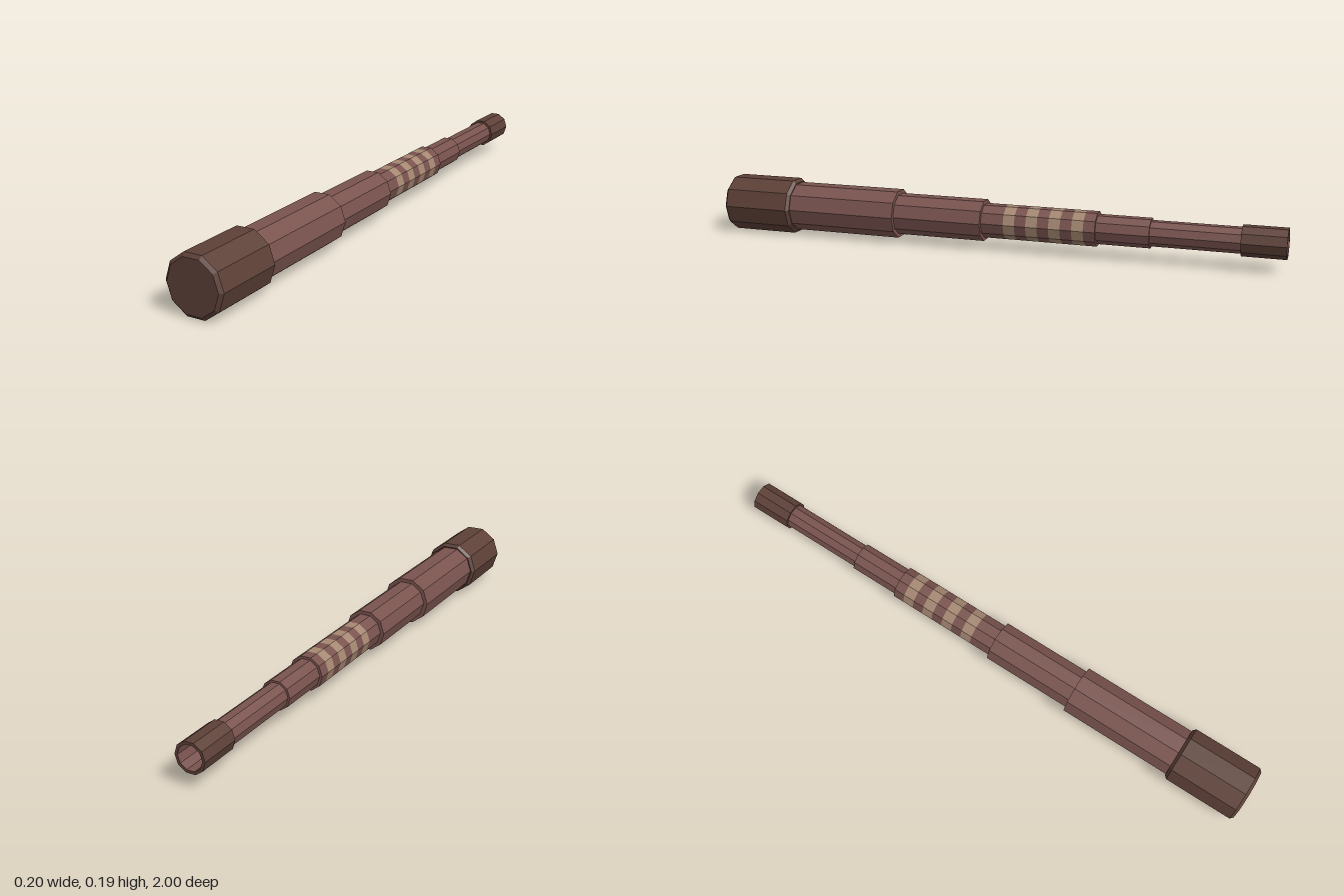
import * as THREE from 'three';

const SIDES = 10;
const AXIS_HEIGHT = 0.098;

const mat = (color) => new THREE.MeshStandardMaterial({ color, flatShading: true });

export function createModel() {
  const group = new THREE.Group();
  const wood = mat(0x79534e);
  const darkWood = mat(0x5d4037);
  const tan = mat(0xa58872);

  // Ten-sided turned part along z; profile is [radius, z] from back to front
  function turned(name, material, profile) {
    const points = profile.map(([r, z]) => new THREE.Vector2(r, z));
    const geometry = new THREE.LatheGeometry(points, SIDES, Math.PI / 2);
    geometry.rotateX(Math.PI / 2);
    const mesh = new THREE.Mesh(geometry, material);
    mesh.name = name;
    mesh.position.y = AXIS_HEIGHT;
    group.add(mesh);
  }

  // Straight tube with ring ends reaching in to the given inner radius
  const tube = (name, material, r, inner, back, front) =>
    turned(name, material, [[inner, back], [r, back], [r, front], [inner, front]]);

  // Chamfered front cap
  turned('frontCap', darkWood, [
    [0.08, 0.74], [0.091, 0.74], [0.1015, 0.75],
    [0.1015, 0.99], [0.09, 1], [0, 1],
  ]);

  // Telescoping sections
  tube('largeTube', wood, 0.087, 0.06, 0.34, 0.745);
  tube('secondTube', wood, 0.073, 0.05, 0.02, 0.345);
  tube('fourthTube', wood, 0.051, 0.04, -0.56, -0.375);
  tube('smallTube', wood, 0.044, 0.042, -0.86, -0.555);

  // Middle section, split into plain and tan bands
  const cuts = [-0.38, -0.34, -0.30, -0.26, -0.22, -0.18, -0.14, -0.10, -0.06, 0.025];
  for (let i = 0; i < cuts.length - 1; i++) {
    const striped = i % 2 === 1;
    tube(striped ? 'gripStripe' : 'gripBand', striped ? tan : wood, 0.06, 0.045, cuts[i], cuts[i + 1]);
  }

  // Open eyepiece with the hollow bore inside
  tube('eyepiece', darkWood, 0.052, 0.042, -1, -0.855);
  turned('bore', wood, [[0, -0.6], [0.042, -0.6], [0.042, -1]]);

  return group;
}
